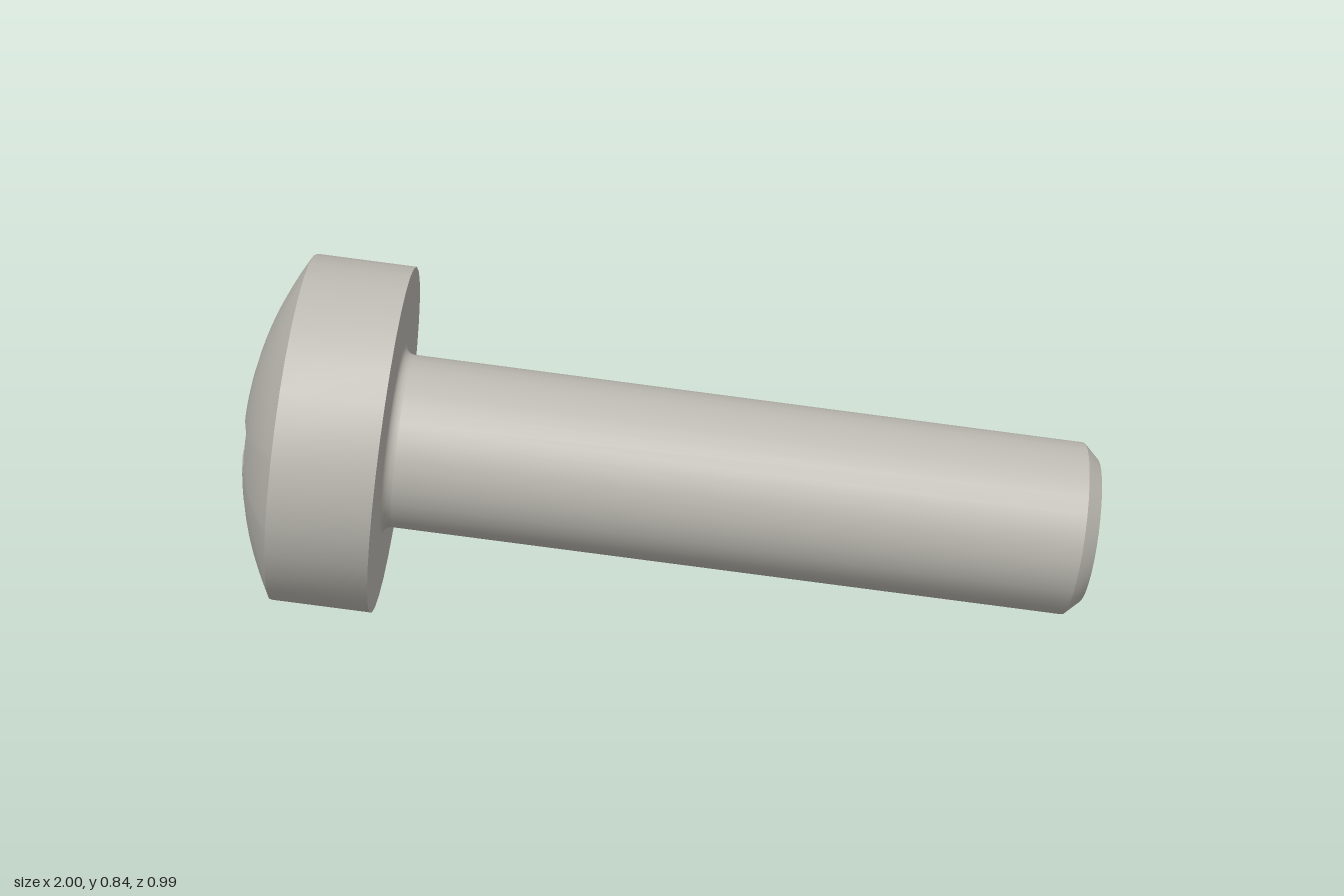
import * as THREE from 'three';
import { mergeVertices, toCreasedNormals } from 'three/addons/utils/BufferGeometryUtils.js';

const SEG = 32;
const HEAD_R = 0.411, HEAD_H = 0.235, DOME_H = 0.113;
const SHANK_R = 0.205, LENGTH = 1.65, FILLET = 0.022;
const ARM = 0.195, ARM_HALF = 0.052, ARM_FLOOR = 0.06, RECESS_DEPTH = 0.24;

const lathe = (pts) => new THREE.LatheGeometry(pts.map(([r, y]) => new THREE.Vector2(r, y)), SEG);

// Skin between closed rings of points, listed from the inside out
function loft(rings, smooth) {
  const pos = [];
  const tri = (...pts) => pts.forEach((p) => pos.push(p.x, p.y, p.z));
  for (let k = 0; k + 1 < rings.length; k++) {
    const a = rings[k], b = rings[k + 1];
    for (let j = 0; j < a.length; j++) {
      const n = (j + 1) % a.length;
      tri(a[j], a[n], b[j]);
      tri(a[n], b[n], b[j]);
    }
  }
  let geo = new THREE.BufferGeometry();
  geo.setAttribute('position', new THREE.Float32BufferAttribute(pos, 3));
  if (smooth) geo = mergeVertices(geo, 1e-5);
  geo.computeVertexNormals();
  return geo;
}

// Height of the spherical dome at radius r
function domeY(r) {
  const R = (HEAD_R ** 2 + DOME_H ** 2) / (2 * DOME_H);
  return HEAD_H + DOME_H - R + Math.sqrt(R * R - r * r);
}

// Radius of the cross outline in direction t
function crossRadius(t) {
  const q = Math.PI / 2;
  const f = Math.abs(t - Math.round(t / q) * q);
  return f <= Math.atan(ARM_HALF / ARM) + 1e-9 ? ARM / Math.cos(f) : ARM_HALF / Math.sin(f);
}

export function createModel() {
  const steel = new THREE.MeshStandardMaterial({ color: 0xbab8b0 });
  steel.name = 'steel';

  const screw = new THREE.Group();
  screw.name = 'screw';
  const add = (name, geo) => {
    const mesh = new THREE.Mesh(geo, steel);
    mesh.name = name;
    screw.add(mesh);
  };

  // Shank with a chamfered tip
  add('shank', toCreasedNormals(lathe([
    [0, -LENGTH], [0.171, -LENGTH], [SHANK_R, -LENGTH + 0.036], [SHANK_R, -FILLET],
  ]), 0.5));

  // Rounded neck under the head
  const neck = [];
  for (let i = 0; i <= 5; i++) {
    const a = (i / 5) * Math.PI / 2;
    neck.push([SHANK_R + FILLET * (1 - Math.cos(a)), -FILLET * (1 - Math.sin(a))]);
  }
  add('neckFillet', lathe(neck));

  // Underside and side of the head
  add('headBody', toCreasedNormals(lathe([
    [SHANK_R + FILLET, 0], [HEAD_R, 0], [HEAD_R, HEAD_H],
  ]), 0.5));

  // Directions shared by the dome and the recess, including the arm corners
  const step = (2 * Math.PI) / SEG;
  const angles = [];
  for (let i = 0; i < SEG; i++) angles.push(i * step);
  for (let i = 0; i < 4; i++) {
    for (const s of [-1, 1]) {
      angles.push((i * Math.PI / 2 + s * Math.atan(ARM_HALF / ARM) + 2 * Math.PI) % (2 * Math.PI));
    }
  }
  angles.sort((a, b) => a - b);

  // Domed top, open at the cross
  const domeRings = [];
  for (let k = 0; k <= 8; k++) {
    domeRings.push(angles.map((t) => {
      const off = t - (Math.floor(t / step + 1e-9) + 0.5) * step;
      const rim = HEAD_R * Math.cos(step / 2) / Math.cos(off);
      const r = THREE.MathUtils.lerp(crossRadius(t), rim, k / 8);
      return new THREE.Vector3(r * Math.cos(t), k === 8 ? HEAD_H : domeY(r), r * Math.sin(t));
    }));
  }
  add('headDome', loft(domeRings, true));

  // Cross recess: straight side walls, arm ends sloping in to a small floor
  const floorY = HEAD_H + DOME_H - RECESS_DEPTH;
  const clip = (v) => THREE.MathUtils.clamp(v, -ARM_FLOOR, ARM_FLOOR);
  const mouth = domeRings[0];
  const floor = mouth.map((p) => new THREE.Vector3(clip(p.x), floorY, clip(p.z)));
  const centre = mouth.map(() => new THREE.Vector3(0, floorY, 0));
  add('crossRecess', loft([centre, floor, mouth], false));

  // Lay the screw on its side, resting on head and tip
  const axisY = new THREE.Vector3(-1.6, 0.207, -0.343).normalize();
  const axisX = new THREE.Vector3(0, 1, 0).addScaledVector(axisY, -axisY.y).normalize();
  const axisZ = new THREE.Vector3().crossVectors(axisX, axisY);
  screw.quaternion.setFromRotationMatrix(new THREE.Matrix4().makeBasis(axisX, axisY, axisZ));
  screw.position.set(-0.64, 0.411, -0.043);

  const model = new THREE.Group();
  model.name = 'model';
  model.add(screw);
  return model;
}
